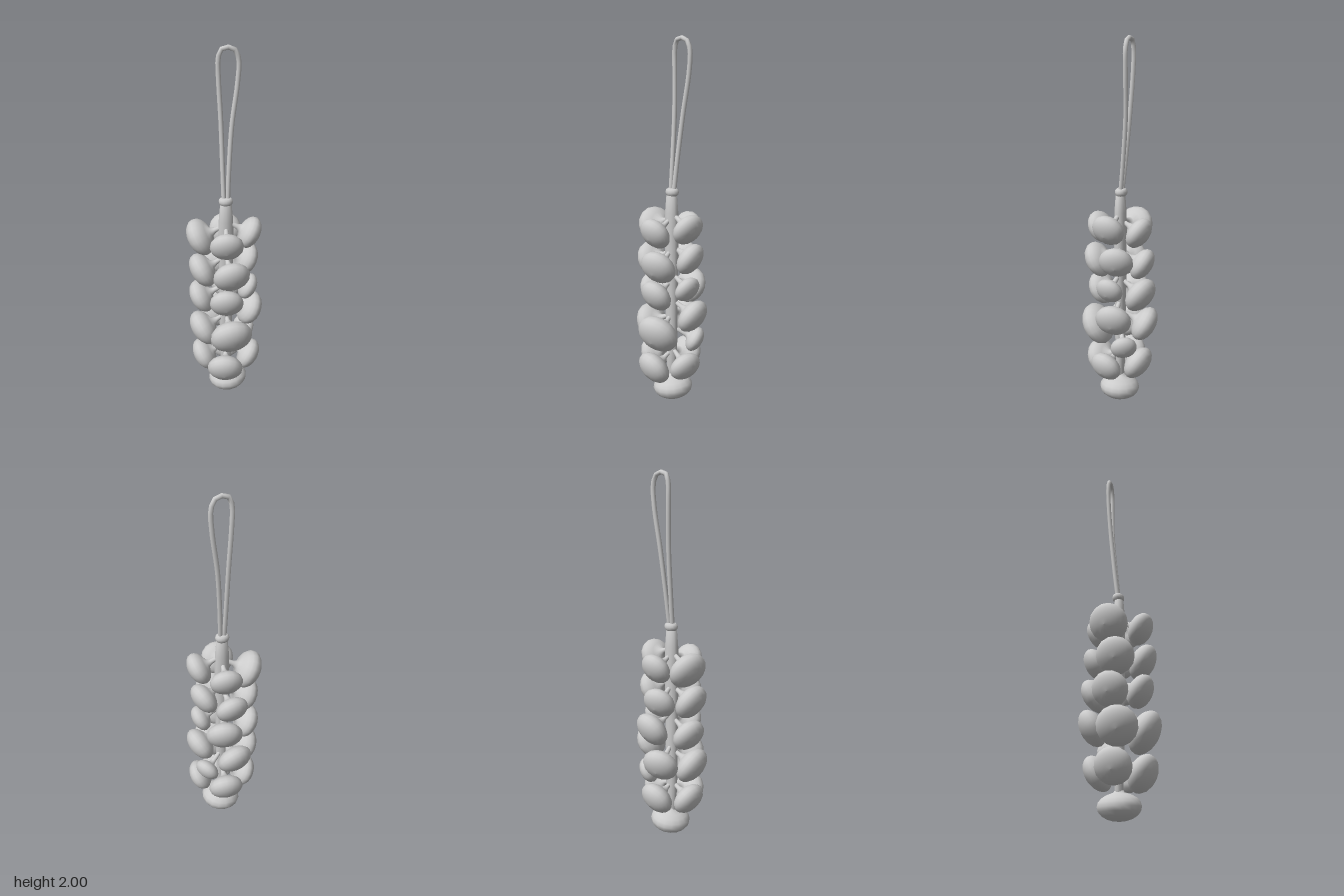
import * as THREE from 'three';

const material = new THREE.MeshStandardMaterial({ color: 0xcccccc });
const UP = new THREE.Vector3(0, 1, 0);

function addMesh(parent, name, geometry) {
  const mesh = new THREE.Mesh(geometry, material);
  mesh.name = name;
  parent.add(mesh);
  return mesh;
}

function lathe(points, sides) {
  return new THREE.LatheGeometry(points.map(([r, y]) => new THREE.Vector2(r, y)), sides);
}

// Flattened bulb along +y: thin neck at the bottom, rounded base at the top
function bulbGeometry(radius, neckLength) {
  const points = [[0.01, -neckLength], [0.014, -radius * 0.85], [radius * 0.25, -radius * 0.62]];
  for (let i = 0; i <= 8; i++) {
    const a = -0.95 + (i / 8) * (Math.PI / 2 + 0.95);
    points.push([Math.max(radius * Math.cos(a), 0), radius * 0.62 * Math.sin(a)]);
  }
  return lathe(points, 16);
}

function addBulb(parent, name, x, y, z, radius, axis, neckLength) {
  const bulb = addMesh(parent, name, bulbGeometry(radius, neckLength));
  bulb.position.set(x, y, z);
  bulb.quaternion.setFromUnitVectors(UP, axis.normalize());
}

// Bulbs of each column, top to bottom: x, y, z, radius
const columns = {
  front: [
    [-0.01, 0.995, 0.12, 0.09], [0.015, 0.815, 0.125, 0.1], [-0.01, 0.645, 0.115, 0.093],
    [0.015, 0.435, 0.13, 0.118], [-0.02, 0.22, 0.125, 0.1],
  ],
  back: [
    [0.01, 0.99, -0.112, 0.088], [-0.02, 0.81, -0.12, 0.09], [0.025, 0.65, -0.13, 0.1],
    [-0.035, 0.46, -0.13, 0.1], [0.01, 0.24, -0.112, 0.098],
  ],
  right: [
    [-0.135, 0.99, -0.025, 0.105], [-0.13, 0.805, 0.01, 0.1], [-0.135, 0.625, -0.015, 0.095],
    [-0.13, 0.435, 0.02, 0.105], [-0.125, 0.24, 0, 0.095],
  ],
  left: [
    [0.125, 1.02, 0.013, 0.09], [0.11, 0.845, -0.025, 0.092], [0.12, 0.685, 0.01, 0.075],
    [0.135, 0.525, -0.02, 0.098], [0.11, 0.365, -0.07, 0.072], [0.125, 0.24, 0.03, 0.09],
  ],
};

export function createModel() {
  const group = new THREE.Group();
  group.name = 'bulbString';

  // Central stem the necks are bound into
  const stem = addMesh(group, 'stem', lathe([
    [0, 0.1], [0.025, 0.1], [0.034, 0.3], [0.038, 0.7], [0.041, 1.0], [0.039, 1.09], [0.031, 1.18], [0, 1.2],
  ], 12));
  stem.scale.z = 0.8;

  // Binding ring at the top of the stem
  const collar = addMesh(group, 'collar', lathe([
    [0, 1.18], [0.028, 1.181], [0.036, 1.19], [0.038, 1.201], [0.035, 1.213], [0.026, 1.22], [0, 1.221],
  ], 14));
  collar.scale.z = 0.85;
  collar.position.z = -0.004;

  // Hanging loop leaning slightly back
  const path = new THREE.CatmullRomCurve3([
    [-0.01, 1.19, -0.004], [-0.014, 1.36, -0.022], [-0.02, 1.62, -0.045], [-0.03, 1.84, -0.057],
    [-0.031, 1.93, -0.058], [-0.018, 1.975, -0.057], [0.014, 1.987, -0.056], [0.05, 1.975, -0.057],
    [0.07, 1.93, -0.058], [0.066, 1.82, -0.057], [0.036, 1.6, -0.045], [0.018, 1.36, -0.022],
    [0.01, 1.19, -0.004],
  ].map((p) => new THREE.Vector3(...p)));
  addMesh(group, 'hangingLoop', new THREE.TubeGeometry(path, 48, 0.0125, 8));

  // Four columns of bulbs, each hanging outward and down from its neck
  const tilt = 0.5;
  for (const [side, bulbs] of Object.entries(columns)) {
    const column = new THREE.Group();
    column.name = side + 'Bulbs';
    group.add(column);
    bulbs.forEach(([x, y, z, radius], i) => {
      const reach = Math.hypot(x, z);
      const axis = new THREE.Vector3(x / reach, -Math.tan(tilt), z / reach);
      addBulb(column, side + 'Bulb' + (i + 1), x, y, z, radius, axis, (reach - 0.015) / Math.cos(tilt));
    });
  }

  // Last bulb closing the lower end
  addBulb(group, 'bottomBulb', 0.01, 0.072, 0, 0.111, new THREE.Vector3(0.13, -1, 0), 0.13);

  return group;
}
